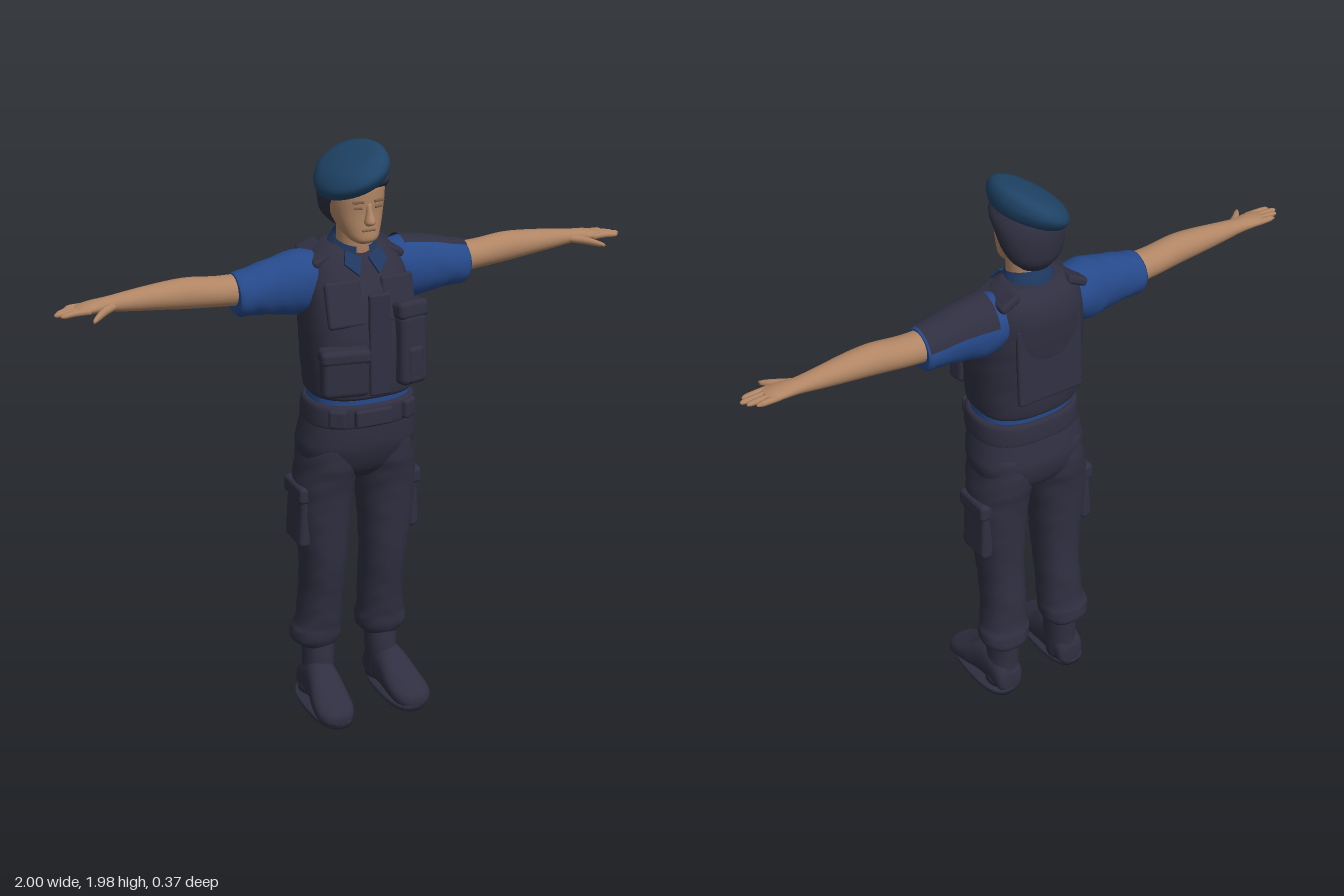
import * as THREE from 'three';
import { RoundedBoxGeometry } from 'three/addons/geometries/RoundedBoxGeometry.js';

const mat = (name, color, side = THREE.FrontSide) => {
  const m = new THREE.MeshStandardMaterial({ color, side });
  m.name = name;
  return m;
};

// Skin rounded cross-sections [t, c1, c2, r1, r2] along an axis.
// axis y: c/r are x,z; axis x: c/r are y,z; axis z: c/r are x,y. s = -1 mirrors an x loft.
function loft(sections, { axis = 'y', s = 1, exp = 2, seg = 28, sub = 5, arc = null, wrinkle = 0 } = {}) {
  const centre = new THREE.CatmullRomCurve3(sections.map(a => new THREE.Vector3(a[0], a[1], a[2])), false, 'catmullrom');
  const radius = new THREE.CatmullRomCurve3(sections.map(a => new THREE.Vector3(a[3], a[4], 0)), false, 'catmullrom');
  const n = (sections.length - 1) * sub, pos = [], idx = [];
  const cols = arc ? seg + 1 : seg, [a0, a1] = arc || [0, Math.PI * 2];
  const put = (t, u, v) => {
    if (axis === 'y') pos.push(u, t, v);
    else if (axis === 'x') pos.push(s * t, u, v);
    else pos.push(u, v, t);
  };
  const flip = (axis === 'y') !== (s < 0);
  const tri = (a, b, c) => (flip ? idx.push(a, c, b) : idx.push(a, b, c));
  const bend = v => Math.sign(v) * Math.pow(Math.abs(v), 2 / exp);
  for (let i = 0; i <= n; i++) {
    const c = centre.getPoint(i / n), r = radius.getPoint(i / n);
    for (let j = 0; j < cols; j++) {
      const a = a0 + (a1 - a0) * j / seg;
      const k = 1 + wrinkle * Math.sin(c.x * 75 + 2.5 * Math.sin(a * 2 + 0.7)) * Math.sin(a * 3 + c.x * 20);
      put(c.x, c.y + Math.max(r.x, 0.001) * k * bend(Math.cos(a)), c.z + Math.max(r.y, 0.001) * k * bend(Math.sin(a)));
    }
  }
  for (let i = 0; i < n; i++) for (let j = 0; j < seg; j++) {
    const a = i * cols + j, b = i * cols + (j + 1) % cols;
    tri(a, b, a + cols);
    tri(b, b + cols, a + cols);
  }
  if (!arc) [0, n].forEach(i => {
    const c = centre.getPoint(i / n), m = pos.length / 3;
    put(c.x, c.y, c.z);
    for (let j = 0; j < seg; j++) {
      const a = i * cols + j, b = i * cols + (j + 1) % seg;
      if (i) tri(m, a, b); else tri(m, b, a);
    }
  });
  const g = new THREE.BufferGeometry();
  g.setAttribute('position', new THREE.Float32BufferAttribute(pos, 3));
  g.setIndex(idx);
  g.computeVertexNormals();
  return g;
}

// Slant a geometry: y += kx * x + kz * z
function slant(g, kx, kz) {
  const p = g.attributes.position;
  for (let i = 0; i < p.count; i++) p.setY(i, p.getY(i) + kx * p.getX(i) + kz * p.getZ(i));
  g.computeVertexNormals();
  return g;
}

export function createModel() {
  const root = new THREE.Group();
  root.name = 'officer';
  const navy = mat('navy cloth', 0x2f2f41, THREE.DoubleSide);
  const blue = mat('blue shirt', 0x26498a);
  const collarBlue = mat('dark blue collar', 0x1f3860, THREE.DoubleSide);
  const beretBlue = mat('beret blue', 0x1f4366);
  const skin = mat('skin', 0xb08564);
  const shade = mat('brow brown', 0x80604a);
  const add = (name, geo, m, x = 0, y = 0, z = 0, rx = 0, ry = 0, rz = 0) => {
    const o = new THREE.Mesh(geo, m);
    o.name = name;
    o.position.set(x, y, z);
    o.rotation.set(rx, ry, rz);
    root.add(o);
    return o;
  };
  const box = (w, h, d, r = 0.012) => new RoundedBoxGeometry(w, h, d, 3, Math.min(r, w / 2.1, h / 2.1, d / 2.1));

  // Head and neck
  add('neck', loft([[1.58, 0, -0.04, 0.07, 0.065], [1.65, 0, -0.025, 0.058, 0.065], [1.74, 0, -0.02, 0.058, 0.065]]), skin);
  add('head', loft([
    [1.68, 0, 0.045, 0.025, 0.025], [1.695, 0, 0.035, 0.048, 0.05], [1.73, -0.002, 0.01, 0.068, 0.075],
    [1.78, -0.003, -0.01, 0.083, 0.094], [1.83, -0.003, -0.015, 0.089, 0.103], [1.88, -0.003, -0.02, 0.09, 0.105],
    [1.92, 0, -0.02, 0.06, 0.08]], { exp: 2.3 }), skin);
  add('nose', loft([[1.745, 0, 0.088, 0.012, 0.01], [1.757, 0, 0.092, 0.018, 0.023], [1.785, 0, 0.087, 0.011, 0.015],
    [1.815, 0, 0.083, 0.008, 0.008]], { seg: 12 }), skin);
  add('mouth', box(0.046, 0.007, 0.008, 0.003), shade, 0, 1.728, 0.085);
  for (const s of [-1, 1]) {
    add('eye', box(0.028, 0.009, 0.008, 0.003), shade, s * 0.035, 1.802, 0.08, 0, s * 0.25);
    add('eyebrow', box(0.038, 0.009, 0.009, 0.003), shade, s * 0.036, 1.822, 0.083, 0, s * 0.25);
  }
  add('hair', loft([
    [1.715, 0, -0.08, 0.05, 0.04], [1.75, 0, -0.078, 0.085, 0.065], [1.79, 0, -0.064, 0.104, 0.086],
    [1.84, 0, -0.045, 0.112, 0.106], [1.875, 0, -0.022, 0.108, 0.122], [1.9, 0, -0.02, 0.09, 0.11]]), navy);
  add('beret', slant(loft([
    [1.862, -0.005, -0.015, 0.098, 0.12], [1.872, -0.008, -0.018, 0.108, 0.138], [1.905, -0.012, -0.02, 0.112, 0.158],
    [1.938, -0.008, -0.025, 0.094, 0.142], [1.956, 0.005, -0.03, 0.055, 0.095], [1.961, 0.01, -0.03, 0.01, 0.02]],
  { seg: 36 }), 0.4, 0), beretBlue);

  // Shirt collar
  add('collar', slant(loft([[1.6, 0, -0.035, 0.1, 0.092], [1.64, 0, -0.035, 0.085, 0.082], [1.675, 0, -0.03, 0.067, 0.072]],
    { arc: [Math.PI * 0.6, Math.PI * 2.4] }), 0, -0.3), collarBlue);
  for (const s of [-1, 1]) {
    const flap = new THREE.Shape([[0.012, 0.035], [0.06, 0.065], [0.075, 0.02], [0.035, -0.025]].map(p => new THREE.Vector2(s * p[0], p[1])));
    add('collarPoint', new THREE.ExtrudeGeometry(flap, { depth: 0.008, bevelEnabled: false }), collarBlue, 0, 1.6, 0.07, -0.65);
  }

  // Vest
  add('vest', loft([
    [1.18, 0, 0, 0.17, 0.138], [1.2, 0, 0, 0.178, 0.147], [1.3, 0, -0.003, 0.185, 0.153], [1.4, 0, -0.012, 0.186, 0.157],
    [1.5, 0, -0.028, 0.18, 0.152], [1.58, 0, -0.048, 0.168, 0.13], [1.635, 0, -0.056, 0.14, 0.1],
    [1.665, 0, -0.055, 0.095, 0.06]], { exp: 2.6, seg: 40, wrinkle: 0.006 }), navy);
  add('vestFrontPlacket', box(0.075, 0.34, 0.02, 0.008), navy, 0.01, 1.365, 0.146, -0.03);
  for (const s of [-1, 1]) {
    add('vestShoulderStrap', box(0.075, 0.03, 0.16), navy, s * 0.125, 1.63, -0.06, 0.1, 0, s * -0.45);
    add('vestChestPanel', box(0.12, 0.15, 0.025), navy, s * 0.095, 1.5, 0.102, -0.28, s * 0.15);
  }
  add('largePouch', box(0.155, 0.145, 0.07, 0.022), navy, -0.112, 1.28, 0.14, 0, -0.2);
  add('largePouchFlap', box(0.165, 0.05, 0.078, 0.018), navy, -0.112, 1.345, 0.14, 0, -0.2);
  add('tallPouch', box(0.105, 0.24, 0.07, 0.022), navy, 0.122, 1.335, 0.135, -0.04, 0.2);
  add('tallPouchFlap', box(0.115, 0.06, 0.078, 0.018), navy, 0.122, 1.465, 0.125, -0.1, 0.2);
  add('smallPouch', box(0.065, 0.13, 0.05, 0.018), navy, 0.125, 1.285, 0.153, 0, 0.2);
  add('backPanel', box(0.24, 0.28, 0.02), navy, 0, 1.41, -0.162, 0.06);

  // Shirt waist, belt and hips
  add('shirtWaist', loft([[1.13, 0, 0, 0.172, 0.132], [1.21, 0, 0, 0.17, 0.132]], { exp: 2.4 }), blue);
  add('belt', loft([[1.08, 0, -0.004, 0.183, 0.138], [1.09, 0, -0.004, 0.19, 0.146], [1.145, 0, -0.002, 0.186, 0.145],
    [1.16, 0, -0.002, 0.176, 0.136]], { exp: 2.5, seg: 36 }), navy);
  add('beltBuckle', box(0.13, 0.06, 0.03, 0.01), navy, -0.01, 1.118, 0.142);
  for (const s of [-1, 1]) add('beltPouch', box(0.06, 0.065, 0.035), navy, s * 0.125, 1.12, 0.118, 0, s * 0.6);
  add('trouserHips', loft([
    [0.865, 0, -0.03, 0.06, 0.07], [0.91, 0, -0.03, 0.17, 0.115], [0.98, 0, -0.024, 0.203, 0.14],
    [1.04, 0, -0.016, 0.197, 0.142], [1.12, 0, -0.006, 0.182, 0.135]], { exp: 2.4, seg: 36 }), navy);

  for (const s of [-1, 1]) {
    // Legs
    add('trouserLeg', loft([
      [0.205, 0.12, -0.08, 0.055, 0.058], [0.235, 0.125, -0.082, 0.085, 0.08], [0.275, 0.123, -0.078, 0.088, 0.083],
      [0.31, 0.118, -0.07, 0.08, 0.08], [0.42, 0.113, -0.058, 0.075, 0.086], [0.55, 0.113, -0.04, 0.078, 0.092],
      [0.7, 0.117, -0.035, 0.092, 0.1], [0.83, 0.113, -0.032, 0.102, 0.11], [0.93, 0.102, -0.028, 0.098, 0.128],
      [1.03, 0.095, -0.02, 0.088, 0.125]].map(a => [a[0], s * a[1], ...a.slice(2)]), { exp: 2.2, wrinkle: 0.025 }), navy);
    add('cargoPocket', box(0.045, 0.2, 0.135, 0.018), navy, s * 0.196, 0.73, -0.04, 0.03, 0, s * 0.05);
    add('cargoPocketFlap', box(0.05, 0.06, 0.145, 0.015), navy, s * 0.2, 0.825, -0.037, 0.03, 0, s * 0.05);

    // Boots
    add('bootShaft', loft([[0.03, s * 0.13, -0.075, 0.058, 0.062], [0.13, s * 0.122, -0.066, 0.054, 0.068],
      [0.25, s * 0.118, -0.074, 0.056, 0.062]], { wrinkle: 0.015 }), navy);
    add('bootFoot', loft([
      [-0.14, 0.128, 0.05, 0.035, 0.035], [-0.12, 0.129, 0.065, 0.052, 0.06], [-0.05, 0.13, 0.085, 0.056, 0.08],
      [0.01, 0.134, 0.08, 0.06, 0.075], [0.07, 0.14, 0.06, 0.068, 0.055], [0.13, 0.145, 0.044, 0.068, 0.04],
      [0.165, 0.146, 0.037, 0.052, 0.032], [0.182, 0.146, 0.032, 0.025, 0.016]].map(a => [a[0], s * a[1], ...a.slice(2)]),
    { axis: 'z', exp: 2.3 }), navy);
    add('bootSole', loft([[0, s * 0.139, 0.02, 0.066, 0.158], [0.024, s * 0.139, 0.02, 0.07, 0.163]], { exp: 2.6, sub: 1 }), navy);

    // Sleeves and arms
    add('sleeve', loft([
      [0.11, 1.56, -0.06, 0.075, 0.085], [0.19, 1.545, -0.055, 0.105, 0.09], [0.28, 1.542, -0.052, 0.091, 0.077],
      [0.36, 1.536, -0.051, 0.077, 0.073], [0.395, 1.533, -0.052, 0.073, 0.072], [0.41, 1.536, -0.052, 0.064, 0.066]],
    { axis: 'x', s, wrinkle: 0.02 }), blue);
    add('arm', loft([
      [0.36, 1.545, -0.055, 0.052, 0.055], [0.46, 1.55, -0.055, 0.049, 0.052], [0.56, 1.56, -0.052, 0.05, 0.049],
      [0.64, 1.563, -0.052, 0.044, 0.046], [0.74, 1.563, -0.053, 0.034, 0.036], [0.82, 1.563, -0.052, 0.024, 0.03],
      [0.87, 1.563, -0.048, 0.02, 0.036], [0.91, 1.561, -0.045, 0.015, 0.038], [0.93, 1.56, -0.044, 0.009, 0.034]],
    { axis: 'x', s }), skin);
    [[0.965, -0.073], [0.988, -0.054], [1, -0.035], [0.985, -0.016]].forEach(([tip, z]) =>
      add('finger', loft([[0.89, 1.561, z, 0.011, 0.011], [0.94, 1.561, z, 0.01, 0.0105], [tip - 0.012, 1.558, z + 0.003, 0.008, 0.009],
        [tip, 1.557, z + 0.003, 0.003, 0.004]], { axis: 'x', s, seg: 10, sub: 3 }), skin));
    add('thumb', loft([[0.8, 1.56, -0.045, 0.014, 0.02], [0.845, 1.556, -0.012, 0.014, 0.018], [0.88, 1.55, 0.022, 0.011, 0.014],
      [0.9, 1.546, 0.043, 0.006, 0.008]], { axis: 'x', s, seg: 12 }), skin);
  }

  // Dark cloth patch over the left shoulder
  add('shoulderPatch', loft([
    [0.17, 1.545, -0.055, 0.112, 0.097], [0.28, 1.542, -0.052, 0.098, 0.084], [0.36, 1.536, -0.051, 0.084, 0.08],
    [0.405, 1.534, -0.052, 0.077, 0.076]], { axis: 'x', arc: [-1.3, 0.55], seg: 16 }), navy);

  return root;
}
